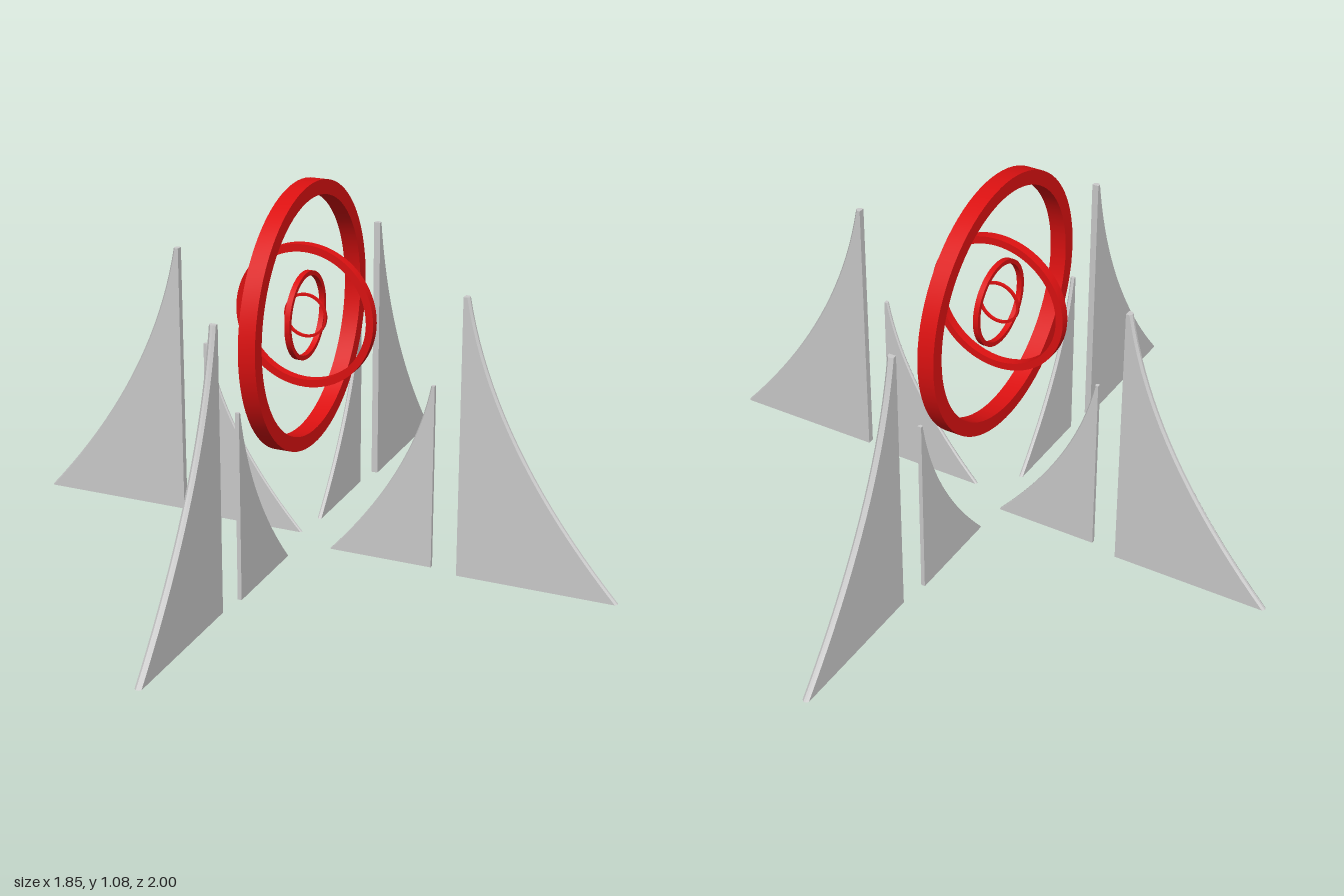
import * as THREE from 'three';
import { toCreasedNormals } from 'three/addons/utils/BufferGeometryUtils.js';

const grey = new THREE.MeshStandardMaterial({ color: 0xcccccc });
const red = new THREE.MeshStandardMaterial({ color: 0xdd1111 });

// Flat ring with a rectangular section, facing +z, centred on its own origin
function ringGeometry(outer, inner, width) {
  const shape = new THREE.Shape().absarc(0, 0, outer, 0, Math.PI * 2);
  shape.holes.push(new THREE.Path().absarc(0, 0, inner, 0, Math.PI * 2, true));
  const geo = new THREE.ExtrudeGeometry(shape, { depth: width, bevelEnabled: false, curveSegments: 40 });
  geo.translate(0, 0, -width / 2);
  return toCreasedNormals(geo, 0.6);
}

// Fin: upright edge at x = 0, concave edge sweeping down to a point at x = length
function finGeometry(length, height, thickness) {
  const tip = length * 0.035;
  const shape = new THREE.Shape();
  shape.moveTo(0, 0);
  shape.lineTo(length, 0);
  shape.quadraticCurveTo(length * 0.2, height * 0.5, tip, height);
  shape.lineTo(0, height);
  shape.closePath();
  const geo = new THREE.ExtrudeGeometry(shape, { depth: thickness, steps: 3, bevelEnabled: false, curveSegments: 20 });
  geo.translate(0, 0, -thickness / 2);
  // Chamfer the curved edge by drawing in the two outer layers
  const p = geo.attributes.position;
  for (let i = 0; i < p.count; i++) {
    if (p.getX(i) > 0.001 && Math.abs(p.getZ(i)) > thickness * 0.4) p.setX(i, p.getX(i) - thickness * 0.3);
  }
  geo.computeVertexNormals();
  return toCreasedNormals(geo, 0.4);
}

export function createModel() {
  const group = new THREE.Group();
  const add = (name, geo, mat, x, y, z, turn) => {
    const mesh = new THREE.Mesh(geo, mat);
    mesh.name = name;
    mesh.position.set(x, y, z);
    mesh.rotation.y = turn;
    group.add(mesh);
  };

  // Nested rings, each at right angles to the next
  const rings = [
    ['outerRing', 0.387, 0.345, 0.05],
    ['secondRing', 0.211, 0.189, 0.027],
    ['thirdRing', 0.128, 0.115, 0.016],
    ['innerRing', 0.065, 0.058, 0.008],
  ];
  rings.forEach(([name, outer, inner, width], i) =>
    add(name, ringGeometry(outer, inner, width), red, -0.032, 0.692, 0.008, i % 2 ? 0 : Math.PI / 2));

  // Large fins sweep outward, small fins sweep inward
  const large = finGeometry(0.466, 0.825, 0.02);
  const small = finGeometry(0.313, 0.55, 0.012);
  const H = Math.PI / 2;
  add('largeFinLeft', large, grey, 0.457, 0, 0.057, 0);
  add('largeFinRight', large, grey, -0.459, 0, -0.048, Math.PI);
  add('largeFinFront', large, grey, -0.055, 0, 0.534, -H);
  add('largeFinBack', large, grey, -0.034, 0, -0.534, H);
  add('smallFinLeft', small, grey, 0.373, 0, 0.04, Math.PI);
  add('smallFinRight', small, grey, -0.374, 0, -0.029, 0);
  add('smallFinFront', small, grey, -0.037, 0, 0.447, H);
  add('smallFinBack', small, grey, -0.052, 0, -0.446, -H);
  return group;
}
